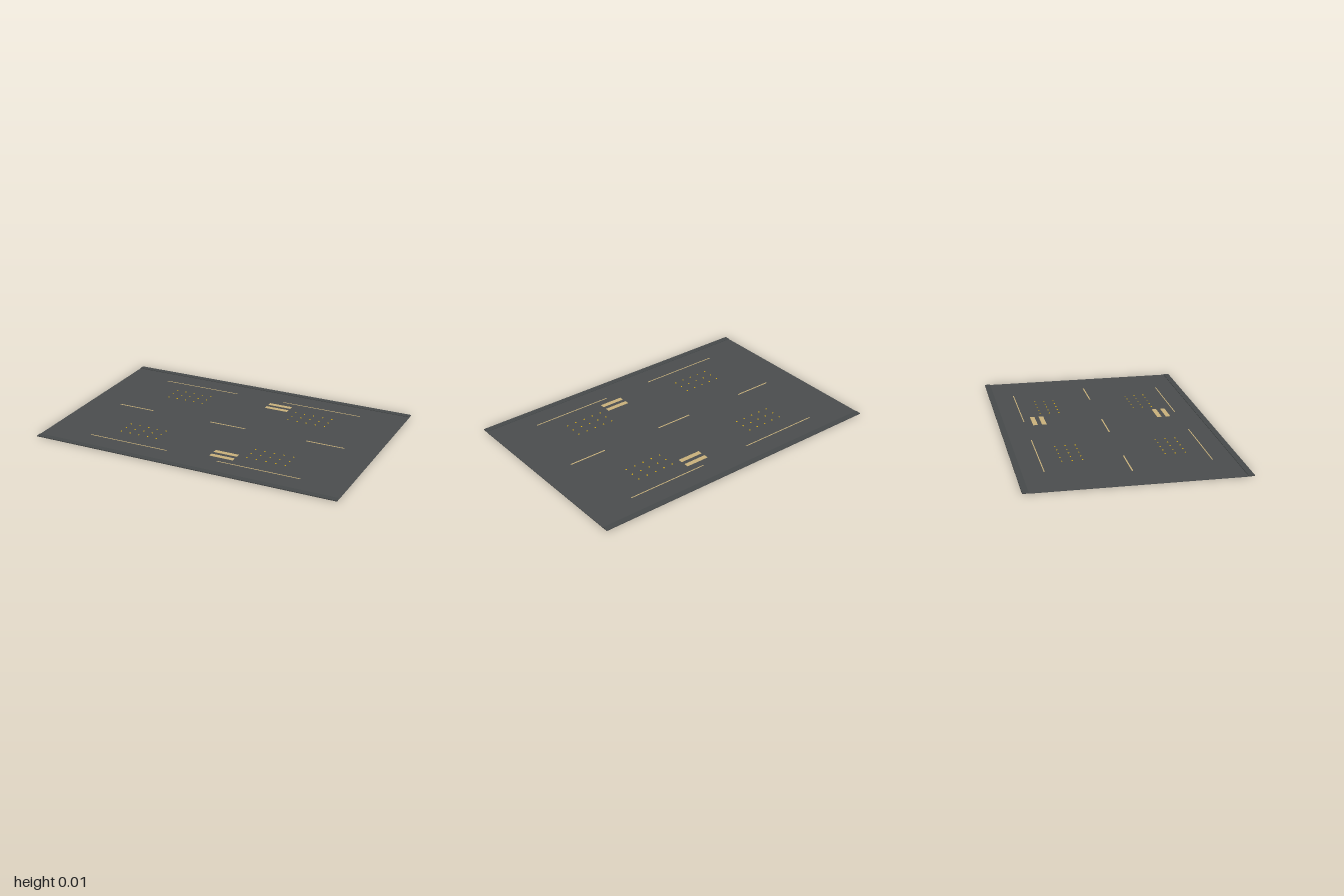
import * as THREE from 'three';

const mat = (name, color) => {
  const m = new THREE.MeshStandardMaterial({ color });
  m.name = name;
  return m;
};

export function createModel() {
  const group = new THREE.Group();
  const asphalt = mat('asphalt grey', 0x4a4d4e);
  const kerb = mat('kerb grey', 0x46494a);
  const paint = mat('cream paint', 0xc8b07a);
  const stud = mat('yellow stud', 0xd4aa18);

  const TOP = 0.003; // road surface height
  const add = (name, geometry, material, x, y, z) => {
    const mesh = new THREE.Mesh(geometry, material);
    mesh.name = name;
    mesh.position.set(x, y, z);
    group.add(mesh);
  };
  const box = (name, material, w, h, d, x, y, z) =>
    add(name, new THREE.BoxGeometry(w, h, d), material, x, y + h / 2, z);
  const stripe = (name, w, d, x, z) => box(name, paint, w, 0.0012, d, x, TOP, z);

  // Road slab with slightly raised strips along both long sides
  box('roadSlab', asphalt, 2, TOP, 1.26, 0, 0, 0);
  for (const s of [-1, 1]) box('edgeStrip', kerb, 2, 0.005, 0.037, 0, 0.001, s * 0.648);

  // Dashed centre line
  for (const x of [-0.665, 0, 0.665]) stripe('centreDash', 0.25, 0.008, x, 0);

  const dot = new THREE.CylinderGeometry(0.005, 0.005, 0.002, 8);
  for (const s of [-1, 1]) {
    // Long lines near the road edges
    for (const x of [-0.44, 0.44]) stripe('edgeLine', 0.54, 0.006, x, s * 0.5);

    // Pairs of broad bars
    for (const z of [0.378, 0.435]) stripe('broadBar', 0.156, 0.03, 0.174, s * z);

    // Grids of small studs
    for (const side of [-1, 1])
      for (let i = 0; i < 5; i++)
        for (let j = 0; j < 3; j++)
          add('roadStud', dot, stud, side * (0.31 + i * 0.063), TOP + 0.001, s * (0.25 + j * 0.0625));
  }
  return group;
}
